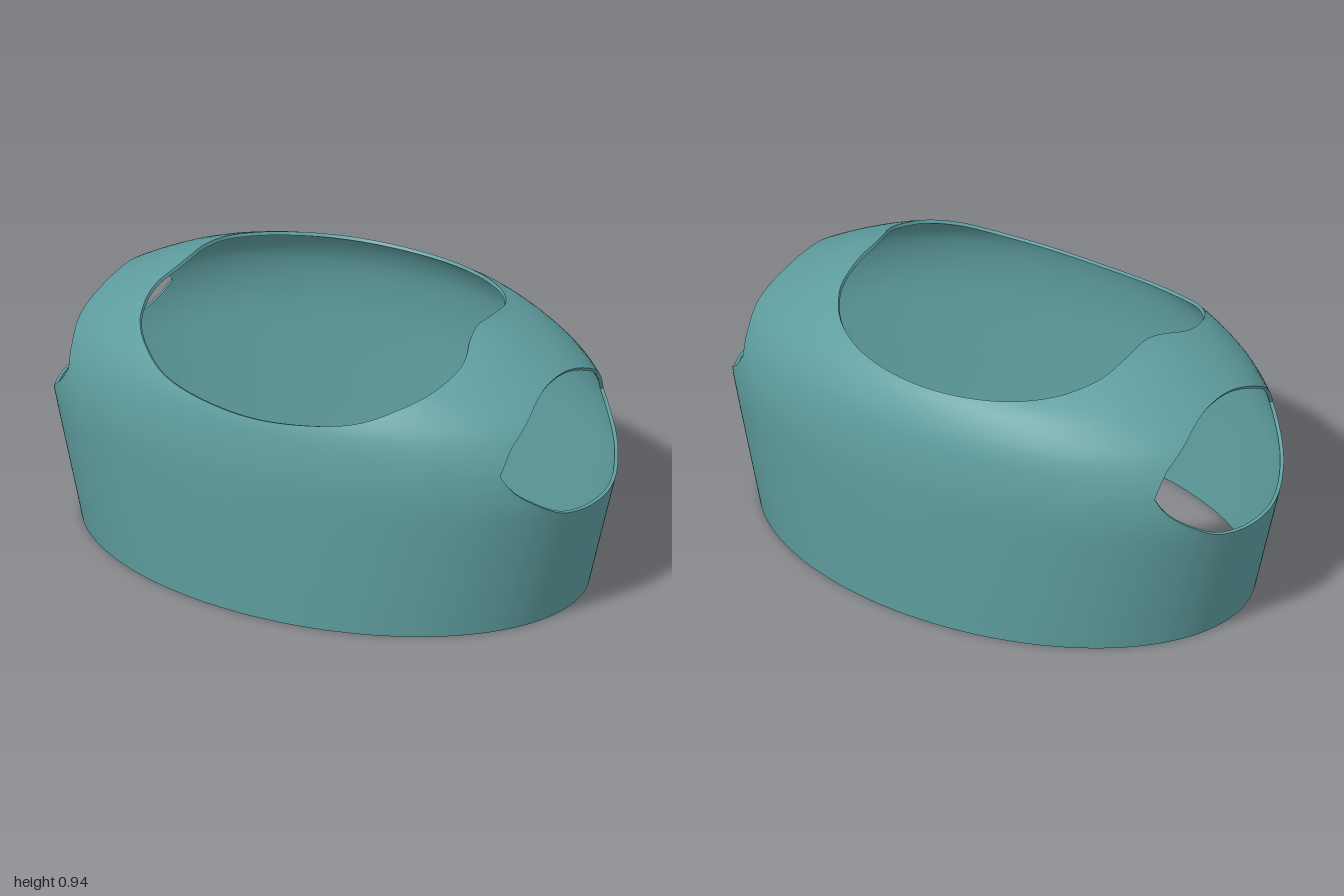
import * as THREE from 'three';
import { toCreasedNormals } from 'three/addons/utils/BufferGeometryUtils.js';

const THICKNESS = 0.012;
const ARM_ANGLE = 35.8; // half-width of an armhole, degrees round the body
const ARM_Y = 0.61;     // height of the armhole corners

// Body section at height y: [y, half-width, half-depth]
const WIDTH = [[-0.1, 0.877], [0, 0.9], [0.2, 0.948], [0.415, 1], [0.48, 1.013], [0.55, 1.012], [0.61, 1],
  [0.68, 0.966], [0.75, 0.907], [0.81, 0.82], [0.88, 0.69], [0.905, 0.635], [0.932, 0.565], [0.945, 0.535], [0.97, 0.47]];
const DEPTH = [[-0.1, 0.595], [0, 0.6], [0.2, 0.61], [0.5, 0.62], [0.6, 0.616], [0.72, 0.596], [0.8, 0.56],
  [0.855, 0.515], [0.88, 0.466], [0.905, 0.413], [0.932, 0.36], [0.95, 0.32], [0.97, 0.27]];
// Edge heights by angle (degrees, 0 = side, +90 = front, -90 = back)
const NECK = [[-110, 0.863], [-90, 0.855], [-70, 0.863], [-55, 0.878], [-39, 0.903], [-18.6, 0.933], [0, 0.945],
  [14, 0.931], [28, 0.895], [53, 0.82], [66, 0.772], [77, 0.748], [90, 0.735], [103, 0.748]];
const ARM_LOW = [[-10, 0.418], [0, 0.415], [10, 0.418], [18.8, 0.437], [26.8, 0.49], [33.4, 0.555], [ARM_ANGLE, ARM_Y]];
const ARM_HIGH = [[-10.4, 0.8], [0, 0.811], [10.4, 0.8], [20, 0.765], [29.9, 0.7], [33.7, 0.65], [ARM_ANGLE, ARM_Y]];

// Smooth cubic interpolation through a table of [x, value]
function interp(table, x) {
  const last = table.length - 1;
  let k = 0;
  while (k < last - 1 && x > table[k + 1][0]) k++;
  const slope = (i) => {
    const p = table[Math.max(i - 1, 0)], q = table[Math.min(i + 1, last)];
    return (q[1] - p[1]) / (q[0] - p[0]);
  };
  const [x0, v0] = table[k], [x1, v1] = table[k + 1];
  const h = x1 - x0, t = (x - x0) / h, t2 = t * t, t3 = t2 * t;
  return v0 * (2 * t3 - 3 * t2 + 1) + v1 * (3 * t2 - 2 * t3)
    + h * (slope(k) * (t3 - 2 * t2 + t) + slope(k + 1) * (t3 - t2));
}

const outerPoint = (a, y) => new THREE.Vector3(
  interp(WIDTH, y) * Math.cos(a), y, interp(DEPTH, y) * Math.sin(a));

// Point moved inwards along the surface normal
function innerPoint(a, y) {
  const e = 0.004;
  const up = outerPoint(a, y + e).sub(outerPoint(a, y - e));
  const round = outerPoint(a + e, y).sub(outerPoint(a - e, y));
  const p = outerPoint(a, y).addScaledVector(up.cross(round).normalize(), -THICKNESS);
  p.y = y < 0.001 ? 0 : p.y;
  return p;
}

// Angles round the body, with columns exactly on the armhole corners
function columnAngles() {
  const list = [];
  const span = (from, to, n) => {
    for (let i = 0; i < n; i++) list.push(from + (to - from) * i / n);
  };
  span(-ARM_ANGLE, ARM_ANGLE, 48);
  span(ARM_ANGLE, 180 - ARM_ANGLE, 56);
  span(180 - ARM_ANGLE, 180 + ARM_ANGLE, 48);
  span(180 + ARM_ANGLE, 360 - ARM_ANGLE, 56);
  return list;
}

function shellGeometry() {
  const positions = [];
  const quad = (a, b, c, d) => {
    for (const p of [a, b, c, a, c, d]) positions.push(p.x, p.y, p.z);
  };

  // One column of outer and inner points between two heights
  const strip = (a, y0, y1, rows) => {
    const outer = [], inner = [];
    for (let j = 0; j <= rows; j++) {
      const y = y0 + (y1 - y0) * j / rows;
      outer.push(outerPoint(a, y));
      inner.push(innerPoint(a, y));
    }
    return { outer, inner };
  };

  const columns = columnAngles().map((deg) => {
    const a = THREE.MathUtils.degToRad(deg);
    const side = THREE.MathUtils.radToDeg(Math.asin(Math.sin(a)));
    const inArm = Math.abs(side) < ARM_ANGLE - 0.01;
    const low = inArm ? interp(ARM_LOW, Math.abs(side)) : ARM_Y;
    const high = inArm ? interp(ARM_HIGH, Math.abs(side)) : ARM_Y;
    return { inArm, lower: strip(a, 0, low, 18), upper: strip(a, high, interp(NECK, side), 16) };
  });

  const topRim = (p, q) => quad(p.outer.at(-1), p.inner.at(-1), q.inner.at(-1), q.outer.at(-1));
  const bottomRim = (p, q) => quad(p.inner[0], p.outer[0], q.outer[0], q.inner[0]);

  columns.forEach((c, i) => {
    const n = columns[(i + 1) % columns.length];
    for (const band of ['lower', 'upper']) {
      const p = c[band], q = n[band];
      for (let j = 0; j < p.outer.length - 1; j++) {
        quad(p.outer[j], p.outer[j + 1], q.outer[j + 1], q.outer[j]);
        quad(p.inner[j], q.inner[j], q.inner[j + 1], p.inner[j + 1]);
      }
    }
    // Hem, neck and armhole edges
    bottomRim(c.lower, n.lower);
    topRim(c.upper, n.upper);
    if (c.inArm || n.inArm) {
      topRim(c.lower, n.lower);
      bottomRim(c.upper, n.upper);
    }
  });

  const geometry = new THREE.BufferGeometry();
  geometry.setAttribute('position', new THREE.Float32BufferAttribute(positions, 3));
  return toCreasedNormals(geometry, THREE.MathUtils.degToRad(40));
}

export function createModel() {
  const group = new THREE.Group();
  group.name = 'sleevelessTop';
  const material = new THREE.MeshStandardMaterial({ color: 0x5f9ea0 });
  const shell = new THREE.Mesh(shellGeometry(), material);
  shell.name = 'bodyShell';
  group.add(shell);
  return group;
}
